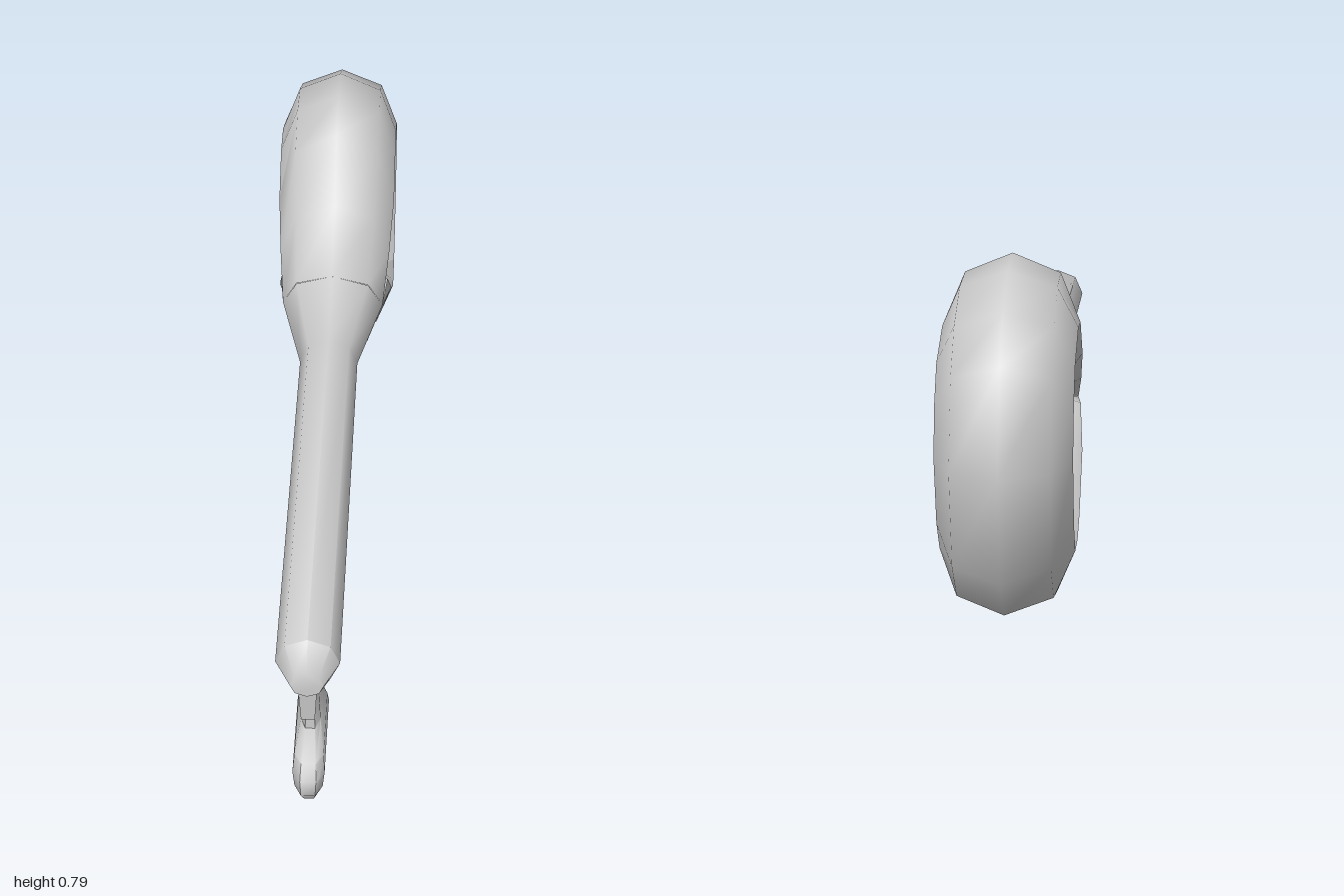
import * as THREE from 'three';
import { toCreasedNormals, mergeGeometries } from 'three/addons/utils/BufferGeometryUtils.js';

const material = new THREE.MeshStandardMaterial({ color: 0xcccccc, side: THREE.DoubleSide });

// Skin a list of cross-sections, each counter-clockwise about the direction of travel
function loft(sections, capStart = false, capEnd = false) {
  const n = sections[0].length, last = (sections.length - 1) * n, index = [];
  for (let i = 0; i < sections.length - 1; i++) {
    for (let j = 0; j < n; j++) {
      const a = i * n + j, b = i * n + (j + 1) % n;
      index.push(a, b, b + n, a, b + n, a + n);
    }
  }
  for (let j = 1; j < n - 1; j++) {
    if (capStart) index.push(0, j + 1, j);
    if (capEnd) index.push(last, last + j, last + j + 1);
  }
  const geo = new THREE.BufferGeometry();
  geo.setAttribute('position', new THREE.Float32BufferAttribute(sections.flat(2), 3));
  geo.setIndex(index);
  return geo;
}

// Flat plate from a (z, y) outline, centred on x = 0, thinning toward the bottom
function plate(outline, topHalf, bottomHalf, yTop, yBottom) {
  const shape = new THREE.Shape(outline.map(([z, y]) => new THREE.Vector2(z, y)));
  const geo = new THREE.ExtrudeGeometry(shape, { depth: 2, bevelEnabled: false });
  geo.translate(0, 0, -1).rotateY(-Math.PI / 2);
  const p = geo.attributes.position;
  for (let i = 0; i < p.count; i++) {
    const k = THREE.MathUtils.clamp((yTop - p.getY(i)) / (yTop - yBottom), 0, 1);
    p.setX(i, p.getX(i) * THREE.MathUtils.lerp(topHalf, bottomHalf, k));
  }
  geo.computeVertexNormals();
  return geo;
}

// Octagonal shaft section; sweep pulls its sides back to meet the two arms of the bow
function shaftSection(z, y, rx, ry, sweep = 0) {
  return Array.from({ length: 8 }, (_, i) => {
    const a = i * Math.PI / 4;
    return [rx * Math.cos(a), y + ry * Math.sin(a), z - sweep * (1 - Math.abs(Math.sin(a)))];
  });
}

// Bow section: round on the outer side, flatter on the side facing the hole
function bowSection([oz, oy, iz, iy, w, side = 0.74]) {
  const half = [[0, 0], [0.71 * w, 0.28 * side], [w, side], [0.71 * w, 0.98], [0, 1]];
  const mirrored = half.slice(1, 4).reverse().map(([x, t]) => [-x, t]);
  return [...half, ...mirrored].map(([x, t]) => [x, oy + (iy - oy) * t, oz + (iz - oz) * t]);
}

export function createModel() {
  const group = new THREE.Group();
  const add = (name, geo) => {
    const mesh = new THREE.Mesh(geo, material);
    mesh.name = name;
    group.add(mesh);
  };

  // Shaft with flared neck and domed tip
  const shaft = loft([
    shaftSection(-0.22, 0.41, 0.12, 0.115, 0.05),
    shaftSection(-0.04, 0.406, 0.067, 0.067),
    shaftSection(0.96, 0.406, 0.066, 0.062),
    shaftSection(1.0, 0.38, 0.035, 0.032),
  ], false, true);

  // Bow stations: outer z, outer y, inner z, inner y, half width, position of widest point
  const bow = loft([
    [-0.22, 0.525, -0.27, 0.41, 0.12, 1],
    [-0.39, 0.615, -0.39, 0.455, 0.132, 0.85],
    [-0.49, 0.75, -0.50, 0.49, 0.14],
    [-0.60, 0.79, -0.58, 0.59, 0.14],
    [-0.73, 0.775, -0.65, 0.605, 0.14],
    [-0.85, 0.715, -0.77, 0.555, 0.14],
    [-0.94, 0.62, -0.80, 0.49, 0.14],
    [-1.0, 0.41, -0.81, 0.42, 0.14],
    [-0.945, 0.18, -0.77, 0.30, 0.14],
    [-0.845, 0.085, -0.73, 0.24, 0.14],
    [-0.70, 0.05, -0.66, 0.25, 0.14],
    [-0.58, 0.085, -0.60, 0.285, 0.14],
    [-0.39, 0.23, -0.47, 0.37, 0.138],
    [-0.29, 0.285, -0.38, 0.44, 0.13, 0.85],
    [-0.22, 0.295, -0.27, 0.41, 0.12, 1],
  ].map(bowSection));
  add('shaftAndBow', toCreasedNormals(mergeGeometries([shaft, bow]), 1.0));

  // Blade under the shaft
  add('blade', plate([[0.975, 0.37], [0.963, 0.245], [0.46, 0.238], [0.13, 0.345], [0.13, 0.37]],
    0.021, 0.014, 0.35, 0.24));

  // Straight rear tooth
  add('rearTooth', plate([[0.59, 0.25], [0.59, 0.015], [0.465, 0.03], [0.46, 0.25]],
    0.015, 0.022, 0.24, 0.02));

  // Boot-shaped front tooth, lofted upward: y, back z, front z, half width
  const tooth = [
    [0, 0.735, 0.955, 0.022],
    [0.04, 0.712, 0.985, 0.03],
    [0.08, 0.708, 0.985, 0.034],
    [0.11, 0.718, 0.96, 0.031],
    [0.135, 0.725, 0.88, 0.021],
    [0.25, 0.725, 0.88, 0.016],
  ].map(([y, z0, z1, w]) => [
    [w * 0.5, y, z1], [w, y, z1 - 0.03], [w, y, z0 + 0.03], [w * 0.5, y, z0],
    [-w * 0.5, y, z0], [-w, y, z0 + 0.03], [-w, y, z1 - 0.03], [-w * 0.5, y, z1],
  ]);
  add('frontTooth', toCreasedNormals(loft(tooth, true, true), 0.9));

  return group;
}
